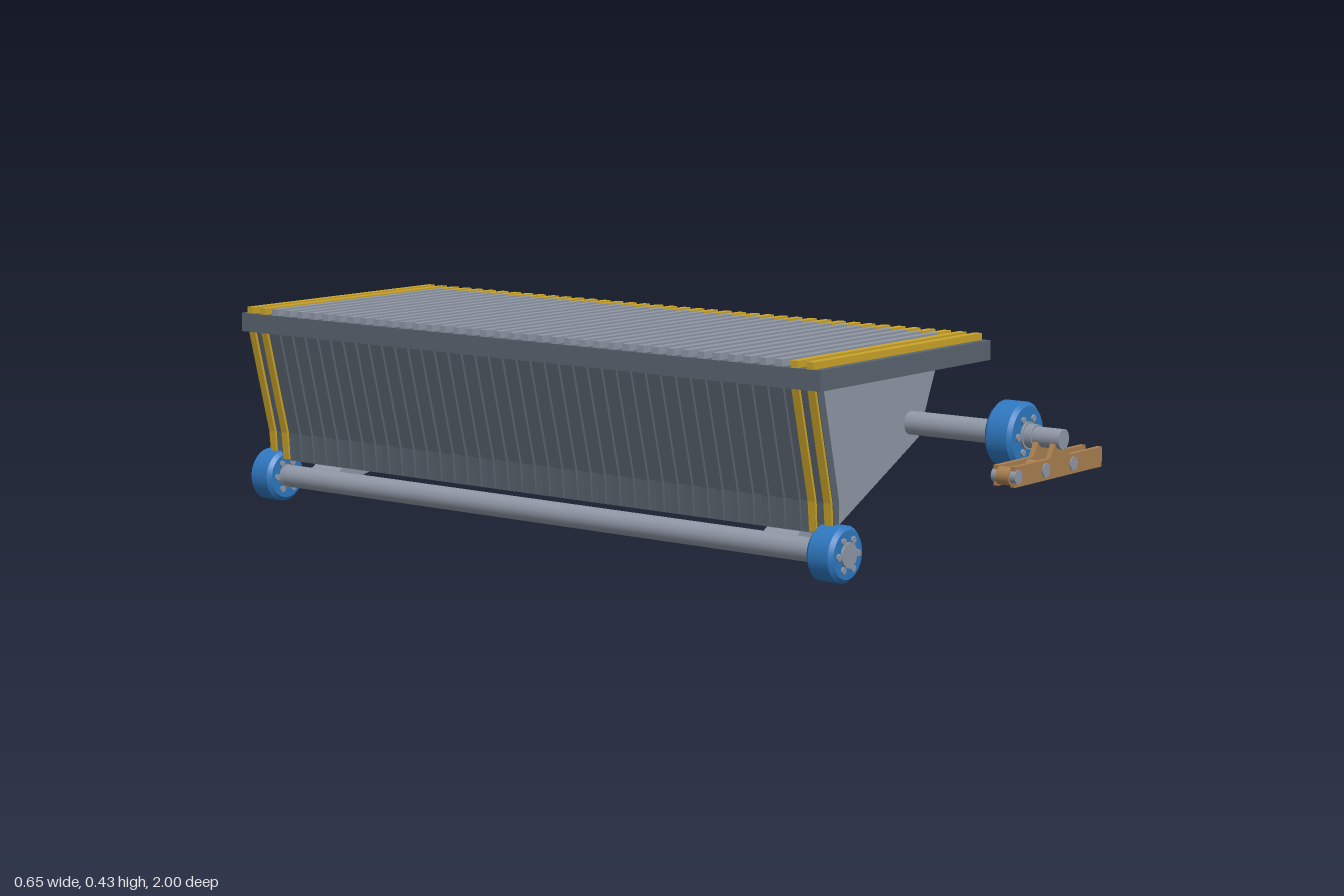
import * as THREE from 'three';

const mat = (name, color) => {
  const m = new THREE.MeshStandardMaterial({ color });
  m.name = name;
  return m;
};

export function createModel() {
  const root = new THREE.Group();
  root.name = 'escalatorStep';
  const slate = mat('slate', 0x5a6570);
  const steel = mat('steel', 0x9098a6);
  const yellow = mat('safetyYellow', 0xcba52a);
  const blue = mat('wheelBlue', 0x2e78c0);
  const bronze = mat('chainBronze', 0xa97f50);

  const add = (parent, name, geo, material, x = 0, y = 0, z = 0) => {
    const m = new THREE.Mesh(geo, material);
    m.name = name;
    m.position.set(x, y, z);
    parent.add(m);
    return m;
  };
  // Box given by its x, y and z limits
  const box = (name, material, x0, x1, y0, y1, z, depth) =>
    add(root, name, new THREE.BoxGeometry(x1 - x0, y1 - y0, depth), material, (x0 + x1) / 2, (y0 + y1) / 2, z);
  // Outline in x, y extruded along z and centred on z
  const plate = (parent, name, pts, material, z, depth) => {
    const shape = new THREE.Shape(pts.map(p => new THREE.Vector2(...p)));
    const geo = new THREE.ExtrudeGeometry(shape, { depth, bevelEnabled: false });
    return add(parent, name, geo, material, 0, 0, z - depth / 2);
  };
  // Cylinder lying along z
  const rod = (parent, name, r, length, material, x, y, z, sides = 24) => {
    const geo = new THREE.CylinderGeometry(r, r, length, sides).rotateX(Math.PI / 2);
    return add(parent, name, geo, material, x, y, z);
  };

  // Tread slab and its ribs, with yellow borders on both sides and at the nose
  box('treadSlab', slate, -0.323, 0.272, 0.378, 0.418, 0, 1.52);
  const ribs = 41, pitch = 1.47 / (ribs - 1);
  const riserRib = [[-0.319, 0.38], [-0.262, 0.155], [-0.256, 0.095], [-0.248, 0.095], [-0.252, 0.155], [-0.309, 0.38]];
  for (let i = 0; i < ribs; i++) {
    const z = -0.735 + i * pitch;
    const border = i < 2 || i >= ribs - 2;
    if (border) box('borderRib', yellow, -0.322, 0.265, 0.417, 0.432, z, 0.017);
    else {
      box('treadRib', steel, -0.322, 0.215, 0.417, 0.432, z, 0.017);
      box('noseRib', yellow, 0.215, 0.265, 0.417, 0.432, z, 0.017);
    }
    plate(root, border ? 'riserBorderRib' : 'riserRib', riserRib, border ? yellow : slate, z, 0.017);
  }

  // Riser panel, bent near its foot
  plate(root, 'riserPanel',
    [[-0.313, 0.38], [-0.256, 0.155], [-0.252, 0.093], [-0.235, 0.093], [-0.236, 0.155], [-0.292, 0.38]], slate, 0, 1.49);

  // Axles
  rod(root, 'mainAxle', 0.024, 1.88, steel, 0.16, 0.253, 0);
  rod(root, 'trailingAxle', 0.024, 1.54, steel, -0.243, 0.057, 0);

  // Wheel with bevelled rims, hub and a ring of six bolts on the outer face
  const wheel = (name, r, x, y, z, hubR, boltR, side) => {
    const g = new THREE.Group();
    g.name = name;
    g.position.set(x, y, z * side);
    const c = 0.008, h = 0.031;
    const profile = [[0, -h], [r - c, -h], [r - c, -h], [r, -h + c], [r, -h + c], [r, h - c], [r, h - c], [r - c, h], [r - c, h], [0, h]]
      .map(p => new THREE.Vector2(...p));
    add(g, 'tyre', new THREE.LatheGeometry(profile, 40).rotateX(Math.PI / 2), blue);
    rod(g, 'hub', hubR, 0.072, steel, 0, 0, 0);
    for (let i = 0; i < 6; i++) {
      const a = i * Math.PI / 3;
      rod(g, 'bolt', 0.007, 0.07, steel, boltR * Math.cos(a), boltR * Math.sin(a), 0, 12);
    }
    root.add(g);
  };

  for (const s of [-1, 1]) {
    // Side bracket joining tread, riser and both axles
    plate(root, 'sideBracket',
      [[-0.235, 0.379], [-0.207, 0.12], [-0.222, 0.085], [-0.245, 0.07], [-0.24, 0.048], [-0.19, 0.054],
        [-0.098, 0.075], [0.19, 0.22], [0.26, 0.379]], steel, s * 0.605, 0.08);

    wheel('mainWheel', 0.066, 0.16, 0.253, 0.887, 0.028, 0.037, s);
    wheel('trailingWheel', 0.056, -0.243, 0.057, 0.74, 0.025, 0.032, s);
    rod(root, 'axleStub', 0.02, 0.08, steel, 0.16, 0.253, s * 0.96);

    // Drive chain: paired links, axle lugs, rollers and pins
    const chain = new THREE.Group();
    chain.name = 'driveChain';
    root.add(chain);
    for (const dz of [-0.019, 0.019]) {
      const z = s * 0.967 + dz;
      plate(chain, 'chainLink', [[-0.003, 0.178], [0.323, 0.178], [0.323, 0.218], [-0.003, 0.218]], bronze, z, 0.011);
      plate(chain, 'axleLug', [[0.12, 0.21], [0.202, 0.21], [0.174, 0.252], [0.146, 0.252]], bronze, z, 0.011);
    }
    for (const x of [0.005, 0.108, 0.212]) {
      rod(chain, 'chainRoller', 0.018, 0.028, bronze, x, 0.198, s * 0.967);
      rod(chain, 'chainPin', 0.014, 0.054, steel, x, 0.198, s * 0.967);
    }
  }
  return root;
}
